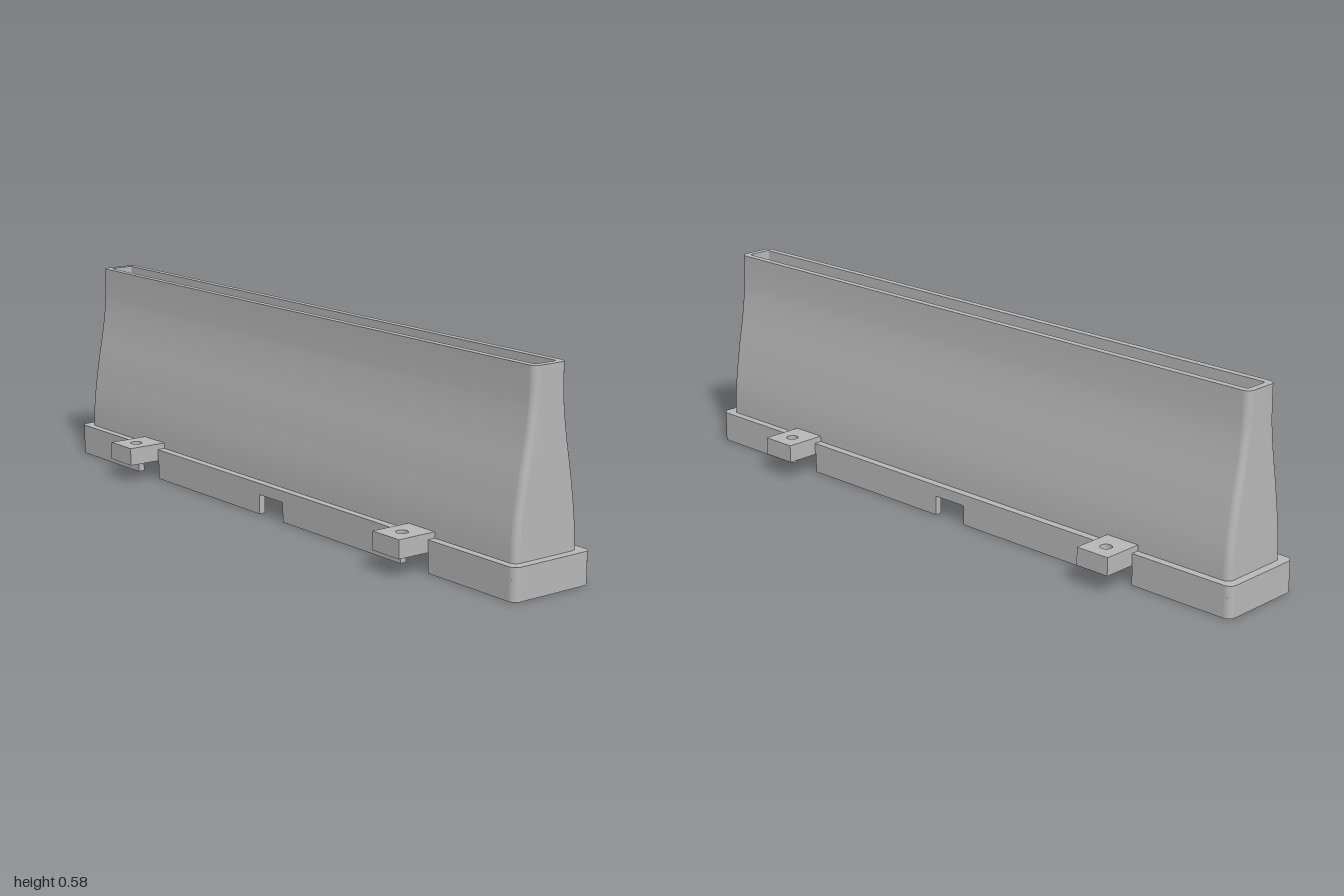
import * as THREE from 'three';
import { mergeGeometries } from 'three/addons/utils/BufferGeometryUtils.js';

const WALL = 0.02;        // shell thickness
const NOTCH = 0.057;      // height of the openings under the base
const BASE = { w: 0.132, l: 1, r: 0.022 };
const BODY_L = 0.975;

// Rounded rectangle outline as [x, z] pairs
function ring(w, l, r, n = 6) {
  const pts = [];
  [[1, 1], [-1, 1], [-1, -1], [1, -1]].forEach(([sx, sz], q) => {
    for (let i = 0; i <= n; i++) {
      const a = (q + i / n) * Math.PI / 2;
      pts.push([sx * (w - r) + r * Math.cos(a), sz * (l - r) + r * Math.sin(a)]);
    }
  });
  return pts;
}

// Smooth skin through sections [y, halfWidth, halfLength, cornerRadius]
function loft(sections) {
  const pos = [], idx = [];
  let n = 0;
  sections.forEach(([y, w, l, r], k) => {
    const pts = ring(w, l, r);
    n = pts.length;
    pts.forEach(([x, z]) => pos.push(x, y, z));
    if (k === 0) return;
    for (let j = 0; j < n; j++) {
      const a = (k - 1) * n + j, b = (k - 1) * n + (j + 1) % n;
      idx.push(a, a + n, b + n, a, b + n, b);
    }
  });
  const g = new THREE.BufferGeometry();
  g.setAttribute('position', new THREE.Float32BufferAttribute(pos, 3));
  g.setIndex(idx);
  g.computeVertexNormals();
  return g;
}

// Sharp-edged closed shell: one loft per pair of neighbouring sections
function sharpLoft(sections) {
  return mergeGeometries(sections.slice(1).map((s, i) => loft([sections[i], s])));
}

// Extrude a plan shape (x, -z) upward from y0
function slab(shape, y0, height) {
  const g = new THREE.ExtrudeGeometry(shape, { depth: height, bevelEnabled: false, curveSegments: 12 });
  return g.rotateX(-Math.PI / 2).translate(0, y0, 0);
}

export function createModel() {
  const group = new THREE.Group();
  const grey = new THREE.MeshStandardMaterial({ color: 0xb8b8b8 });
  grey.name = 'concrete grey';
  const add = (name, geometry) => {
    const m = new THREE.Mesh(geometry, grey);
    m.name = name;
    group.add(m);
    return m;
  };

  // Hollow upright body with S-curved sides
  const curve = new THREE.SplineCurve([
    [0.109, 0.09], [0.1075, 0.14], [0.102, 0.2], [0.087, 0.3], [0.0705, 0.39],
    [0.0595, 0.47], [0.0565, 0.53], [0.056, 0.585],
  ].map(([x, y]) => new THREE.Vector2(x, y)));
  const profile = curve.getPoints(28);
  const outer = profile.map(p => [p.y, p.x, BODY_L, 0.02]);
  const inner = profile.map(p => [p.y, p.x - WALL, BODY_L - WALL, 0.006]).reverse();
  inner.push([0.07, 0.089, BODY_L - WALL, 0.006]);
  add('body', mergeGeometries([
    loft(outer),
    loft([outer[outer.length - 1], inner[0]]),
    loft(inner),
  ]));

  // Base collar: outer wall, top step, inner ledge and underside
  const rim = [BASE.w, BASE.l, BASE.r];
  const rimIn = [BASE.w - WALL, BASE.l - WALL, 0.006];
  add('baseCollar', sharpLoft([
    [NOTCH, ...rimIn], [NOTCH, ...rim], [0.09, ...rim], [0.09, 0.109, BODY_L, 0.02],
  ]));
  add('baseLedge', sharpLoft([
    [0.07, 0.089, BODY_L - WALL, 0.006], [0.07, ...rimIn], [NOTCH, ...rimIn],
  ]));

  // U-shaped feet closing both ends
  const { w, l, r } = BASE, z0 = 0.675;
  const u = new THREE.Shape();
  u.moveTo(w, z0);
  u.lineTo(w, l - r);
  u.absarc(w - r, l - r, r, 0, Math.PI / 2, false);
  u.lineTo(-w + r, l);
  u.absarc(-w + r, l - r, r, Math.PI / 2, Math.PI, false);
  u.lineTo(-w, z0);
  u.lineTo(-w + WALL, z0);
  u.lineTo(-w + WALL, l - WALL);
  u.lineTo(w - WALL, l - WALL);
  u.lineTo(w - WALL, z0);
  const footGeo = slab(u, 0, NOTCH);

  // Drilled mounting tab
  const t = new THREE.Shape();
  t.moveTo(0.106, -0.053);
  t.lineTo(0.23, -0.053);
  t.lineTo(0.23, 0.053);
  t.lineTo(0.106, 0.053);
  const hole = new THREE.Path();
  hole.absarc(0.175, 0, 0.017, 0, Math.PI * 2, true);
  t.holes.push(hole);
  const tabGeo = slab(t, 0.055, 0.052);

  const skirtGeo = new THREE.BoxGeometry(WALL, NOTCH, 0.51);
  for (const sz of [1, -1]) {
    add(sz > 0 ? 'frontFoot' : 'backFoot', footGeo).rotation.y = sz > 0 ? Math.PI : 0;
    for (const sx of [1, -1]) {
      const where = (sz > 0 ? 'front' : 'back') + (sx > 0 ? 'Left' : 'Right');
      add(where + 'Skirt', skirtGeo).position.set(sx * (w - WALL / 2), NOTCH / 2, sz * 0.31);
      const tab = add(where + 'Tab', tabGeo);
      tab.rotation.y = sx > 0 ? 0 : Math.PI;
      tab.position.z = sz * 0.621;
    }
  }
  return group;
}
